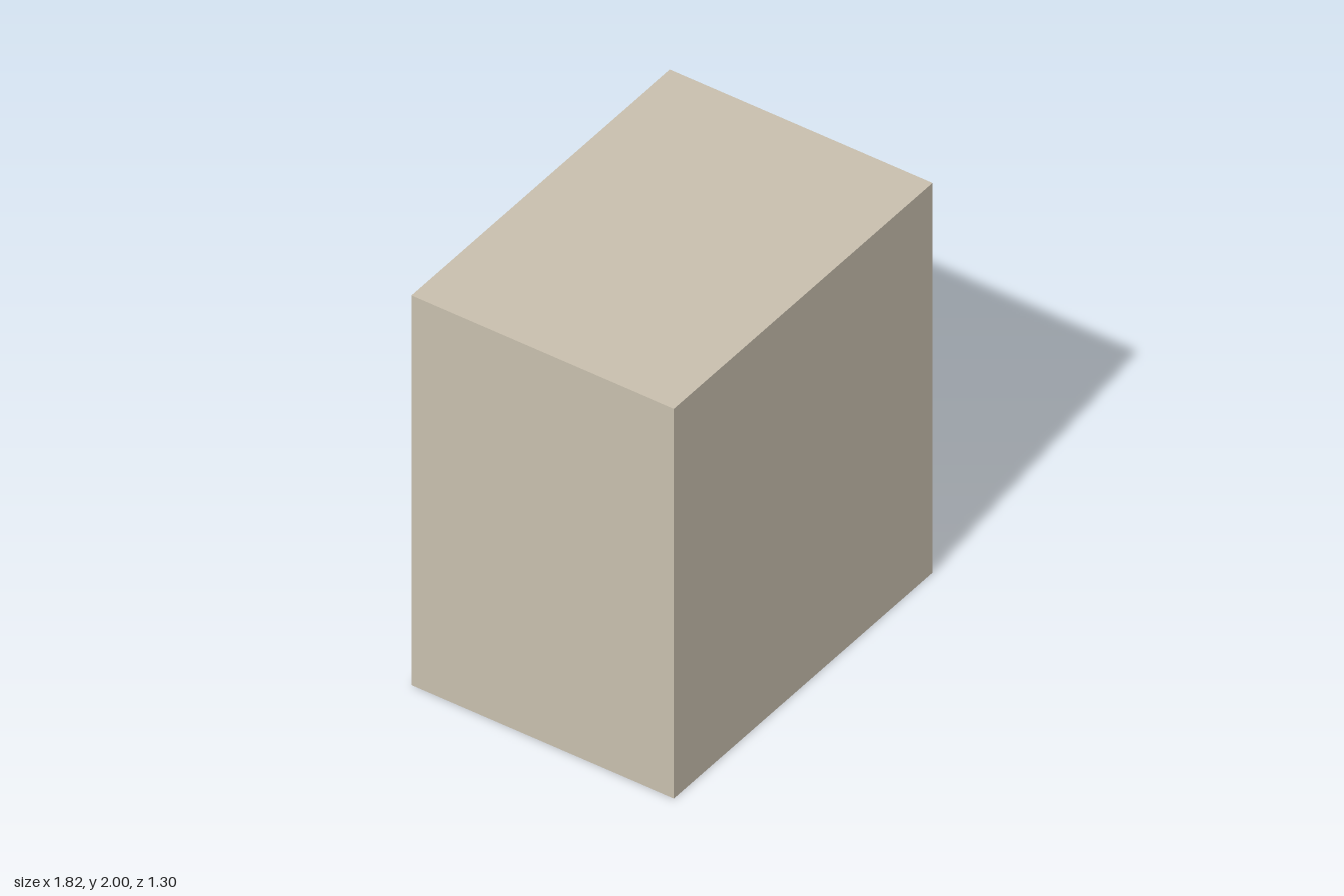
import * as THREE from 'three';

const W = 1.82, H = 2, D = 1.3;          // cabinet size
const BACK = -D / 2, DISH = 0.03;        // back plane, depth of the dished rims
const PANEL = 0.05;                      // closed front panel
const PITCH = 0.4767, FIRST = 0.352, COUNT = 4;
const OUTER = { w: 1.745, h: 0.405, r: 0.08 };
const HOLE = { w: 1.466, h: 0.22, r: 0.015 };

// Points of a rounded rectangle, counter-clockwise, always the same count
function outline(w, h, r, cy, steps = 6) {
  const pts = [];
  [[1, 1], [-1, 1], [-1, -1], [1, -1]].forEach(([sx, sy], k) => {
    for (let i = 0; i <= steps; i++) {
      const a = (k + i / steps) * Math.PI / 2;
      pts.push(new THREE.Vector2(
        sx * (w / 2 - r) + r * Math.cos(a),
        cy + sy * (h / 2 - r) + r * Math.sin(a)));
    }
  });
  return pts;
}

// Cabinet cross-section pierced by one opening per compartment
function piercedGeometry({ w, h, r }, depth, z) {
  const shape = new THREE.Shape([
    new THREE.Vector2(-W / 2, 0), new THREE.Vector2(W / 2, 0),
    new THREE.Vector2(W / 2, H), new THREE.Vector2(-W / 2, H)]);
  for (let i = 0; i < COUNT; i++) {
    shape.holes.push(new THREE.Path(outline(w, h, r, FIRST + i * PITCH)));
  }
  const geo = new THREE.ExtrudeGeometry(shape, { depth, bevelEnabled: false });
  return geo.translate(0, 0, z);
}

// Dished rim sinking from the back plane to the opening
function rimGeometry() {
  const rings = 5, pos = [], idx = [];
  let n = 0;
  for (let j = 0; j <= rings; j++) {
    const t = j / rings, lip = 0.012;
    const mix = (a, b) => a + (b - a) * t;
    const pts = outline(mix(OUTER.w, HOLE.w + lip), mix(OUTER.h, HOLE.h + lip),
      mix(OUTER.r, HOLE.r), 0);
    n = pts.length;
    const z = BACK + (DISH - 0.002) * Math.sin(t * Math.PI / 2);
    pts.forEach(p => pos.push(p.x, p.y, z));
  }
  for (let j = 0; j < rings; j++) {
    for (let i = 0; i < n; i++) {
      const a = j * n + i, b = j * n + (i + 1) % n;
      idx.push(a, a + n, b, b, a + n, b + n);
    }
  }
  const geo = new THREE.BufferGeometry();
  geo.setAttribute('position', new THREE.Float32BufferAttribute(pos, 3));
  geo.setIndex(idx);
  geo.computeVertexNormals();
  return geo;
}

export function createModel() {
  const beige = new THREE.MeshStandardMaterial({ color: 0xc8bfae });
  beige.name = 'beige';
  const brown = new THREE.MeshStandardMaterial({ color: 0xb79271 });
  brown.name = 'brown';

  const group = new THREE.Group();
  group.name = 'cabinet';
  const add = (name, geo, mat, y = 0, z = 0) => {
    const mesh = new THREE.Mesh(geo, mat);
    mesh.name = name;
    mesh.position.set(0, y, z);
    group.add(mesh);
  };

  // Body with deep compartments, and the brown face around them
  const bodyDepth = D - DISH - PANEL;
  add('body', piercedGeometry(HOLE, bodyDepth, BACK + DISH), [brown, beige]);
  add('backFrame', piercedGeometry(OUTER, DISH, BACK), [brown, beige]);

  // Plain closed front
  add('frontPanel', new THREE.BoxGeometry(W, H, PANEL), beige, H / 2, D / 2 - PANEL / 2);

  // One rim per compartment
  const rim = rimGeometry();
  for (let i = 0; i < COUNT; i++) add('compartmentRim' + (i + 1), rim, beige, FIRST + i * PITCH);

  return group;
}
